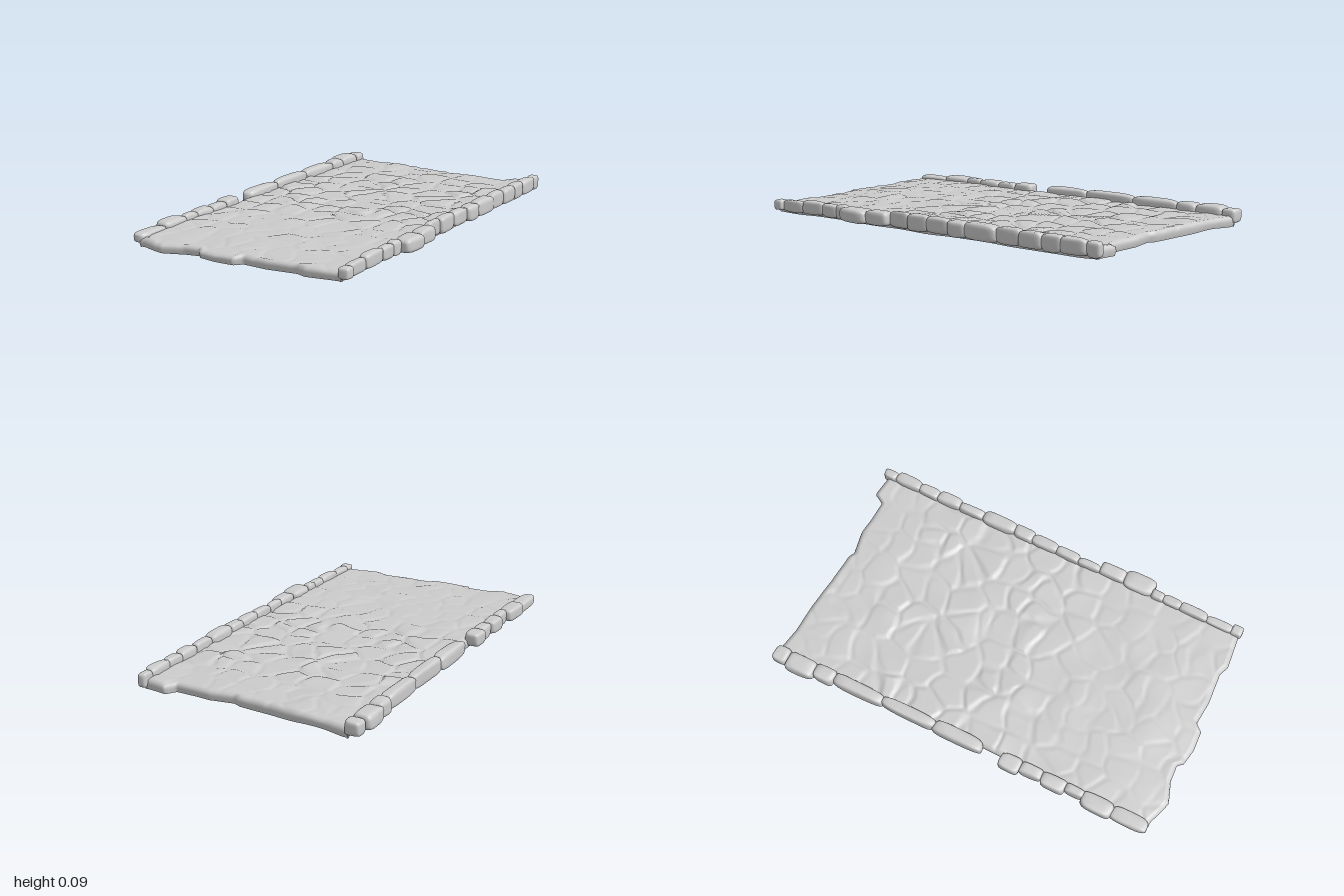
import * as THREE from 'three';

const clamp = THREE.MathUtils.clamp, smooth = THREE.MathUtils.smoothstep;

// Repeatable pseudo-random value for a pair of numbers
function hash(a, b) {
  const s = Math.sin(a * 127.1 + b * 311.7 + 4.3) * 43758.5453;
  return s - Math.floor(s);
}

// Soft value noise in -1..1
function noise(x, z) {
  const i = Math.floor(x), j = Math.floor(z);
  const u = smooth(x - i, 0, 1), v = smooth(z - j, 0, 1);
  const a = THREE.MathUtils.lerp(hash(i, j), hash(i + 1, j), u);
  const b = THREE.MathUtils.lerp(hash(i, j + 1), hash(i + 1, j + 1), u);
  return THREE.MathUtils.lerp(a, b, v) * 2 - 1;
}

// Relief of irregular cobbles: each cell is a tilted dome with a soft joint
function cobbles(x, z) {
  const s = 7.5;
  const px = x * s + 0.25 * noise(x * 9, z * 9), pz = z * s + 0.25 * noise(z * 9 + 7, x * 9);
  const ci = Math.floor(px), cj = Math.floor(pz);
  let d1 = 9, d2 = 9, lift = 0, tilt = 0;
  for (let i = ci - 1; i <= ci + 1; i++) {
    for (let j = cj - 1; j <= cj + 1; j++) {
      const dx = px - i - 0.1 - 0.8 * hash(i, j), dz = pz - j - 0.1 - 0.8 * hash(j + 50, i);
      const d = Math.hypot(dx, dz);
      if (d < d1) {
        d2 = d1;
        d1 = d;
        lift = hash(i + 9, j + 31) - 0.5;
        tilt = dx * (hash(i, j + 70) - 0.5) + dz * (hash(i + 70, j) - 0.5);
      } else if (d < d2) d2 = d;
    }
  }
  const joint = smooth(d2 - d1, 0, 0.3);
  return joint * (0.007 + 0.007 * lift + 0.008 * tilt) - 0.004;
}

// Piecewise-linear lookup in a short list of [x, value]
function along(points, x) {
  for (let i = 1; i < points.length; i++) {
    const [x0, v0] = points[i - 1], [x1, v1] = points[i];
    if (x <= x1) return v0 + (v1 - v0) * clamp((x - x0) / (x1 - x0), 0, 1);
  }
  return points[points.length - 1][1];
}

// Ragged ends of the path
const FRONT = [[-0.5, 0.95], [-0.42, 0.98], [-0.38, 0.99], [-0.28, 0.955], [-0.2, 0.95], [-0.18, 0.975],
  [-0.1, 0.99], [0, 0.985], [0.03, 0.95], [0.15, 0.96], [0.3, 0.95], [0.35, 0.97], [0.5, 0.955]];
const BACK = [[-0.5, -0.99], [-0.4, -0.97], [-0.25, -0.96], [-0.1, -0.94], [0.05, -0.925], [0.08, -0.91],
  [0.2, -0.93], [0.28, -0.92], [0.38, -0.915], [0.41, -0.965], [0.5, -0.95]];

// Rounded lip: inset and height share of the outermost rows
const INSET = [0.008, 0, 0.005, 0.02], SHARE = [0, 0.5, 0.86, 1];

function place(i, n, lo, hi) {
  if (i < 3) return lo + INSET[i];
  if (n - i < 3) return hi - INSET[n - i];
  return THREE.MathUtils.lerp(lo + INSET[3], hi - INSET[3], (i - 3) / (n - 6));
}

function pathGeometry() {
  const nx = 130, nz = 230;
  const geo = new THREE.PlaneGeometry(1, 1, nx, nz).rotateX(-Math.PI / 2);
  const pos = geo.attributes.position;
  for (let j = 0; j <= nz; j++) {
    for (let i = 0; i <= nx; i++) {
      const x = place(i, nx, -0.525, 0.525);
      const z = place(j, nz, along(BACK, x), along(FRONT, x));
      // Relief is strongest in the worn middle
      const worn = 0.4 + 0.6 * smooth(z, -0.85, -0.5) * (1 - smooth(z, 0.05, 0.4));
      const top = 0.053 - 0.009 * smooth(z, 0.7, 1) + worn * cobbles(x, z) + 0.0035 * noise(x * 8, z * 8 + 3);
      const rim = Math.min(i, j, nx - i, nz - j, 3);
      const foot = 0.004 + 0.004 * noise(x * 6, z * 6);
      pos.setXYZ(j * (nx + 1) + i, x, THREE.MathUtils.lerp(foot, top, SHARE[rim]), z);
    }
  }
  geo.computeVertexNormals();
  return geo;
}

// Kerb stones as [back z, front z, outer x]
const RIGHT_KERB = [[-1, -0.925, 0.58], [-0.925, -0.78, 0.595], [-0.78, -0.68, 0.575], [-0.68, -0.42, 0.565],
  [-0.42, -0.15, 0.56], [-0.15, 0.1, 0.565], [0.2, 0.3, 0.58], [0.3, 0.41, 0.56], [0.41, 0.53, 0.57],
  [0.53, 0.62, 0.55], [0.62, 0.77, 0.58], [0.77, 0.945, 0.57]];
const LEFT_KERB = [[-0.97, -0.9, 0.55], [-0.9, -0.77, 0.56], [-0.77, -0.67, 0.555], [-0.67, -0.55, 0.56],
  [-0.55, -0.42, 0.55], [-0.42, -0.25, 0.565], [-0.25, -0.15, 0.565], [-0.15, -0.02, 0.555], [-0.02, 0.1, 0.55],
  [0.1, 0.21, 0.54], [0.21, 0.34, 0.575], [0.34, 0.49, 0.592], [0.49, 0.55, 0.55], [0.55, 0.64, 0.55],
  [0.64, 0.78, 0.55], [0.78, 0.91, 0.545], [0.91, 0.96, 0.56]];

// Boulder: a sphere squared off towards a box, with slight lumps
function stoneGeometry(seed) {
  const geo = new THREE.SphereGeometry(1, 28, 20);
  const pos = geo.attributes.position;
  const square = (v) => Math.sign(v) * Math.pow(Math.abs(v), 0.55);
  const p = new THREE.Vector3();
  for (let k = 0; k < pos.count; k++) {
    p.fromBufferAttribute(pos, k);
    const lump = 1 + 0.05 * Math.sin(p.x * 3 + seed * 2) * Math.cos(p.z * 3 + p.y * 2 + seed);
    p.set(square(p.x), square(p.y), square(p.z));
    const m = Math.max(Math.abs(p.x), Math.abs(p.y), Math.abs(p.z));
    p.multiplyScalar(lump * Math.pow(m, -0.15));
    pos.setXYZ(k, clamp(p.x, -1, 1), clamp(p.y, -1, 1), clamp(p.z, -1, 1));
  }
  geo.computeVertexNormals();
  return geo;
}

function kerb(stones, side, name, material) {
  const group = new THREE.Group();
  group.name = name;
  stones.forEach(([z0, z1, outer], n) => {
    const inner = 0.498 + 0.008 * hash(n, side);
    const mid = (z0 + z1) / 2;
    // Stones rise gently towards the back
    const top = along([[-1, 0.083], [-0.85, 0.09], [0.2, 0.09], [0.3, 0.081], [0.7, 0.08], [0.8, 0.07], [1, 0.065]], mid)
      + 0.005 * (hash(n + 5, side) - 0.5);
    const foot = 0.01 + 0.006 * hash(n + 3, side);
    const geo = stoneGeometry(n + side * 5);
    geo.scale((outer - inner) / 2, (top - foot) / 2, (z1 - z0) / 2 + (n ? 0.004 : 0));
    const stone = new THREE.Mesh(geo, material);
    stone.name = 'kerbStone';
    stone.position.set(side * (inner + outer) / 2, (top + foot) / 2, mid);
    group.add(stone);
  });
  return group;
}

export function createModel() {
  const model = new THREE.Group();
  model.name = 'stonePath';
  const grey = new THREE.MeshStandardMaterial({ color: 0xcccccc });
  const open = new THREE.MeshStandardMaterial({ color: 0xcccccc, side: THREE.DoubleSide });

  // Cobbled surface, open underneath
  const path = new THREE.Mesh(pathGeometry(), open);
  path.name = 'cobbledSurface';
  model.add(path);

  // Kerbs along both sides
  model.add(kerb(LEFT_KERB, 1, 'leftKerb', grey), kerb(RIGHT_KERB, -1, 'rightKerb', grey));
  return model;
}
